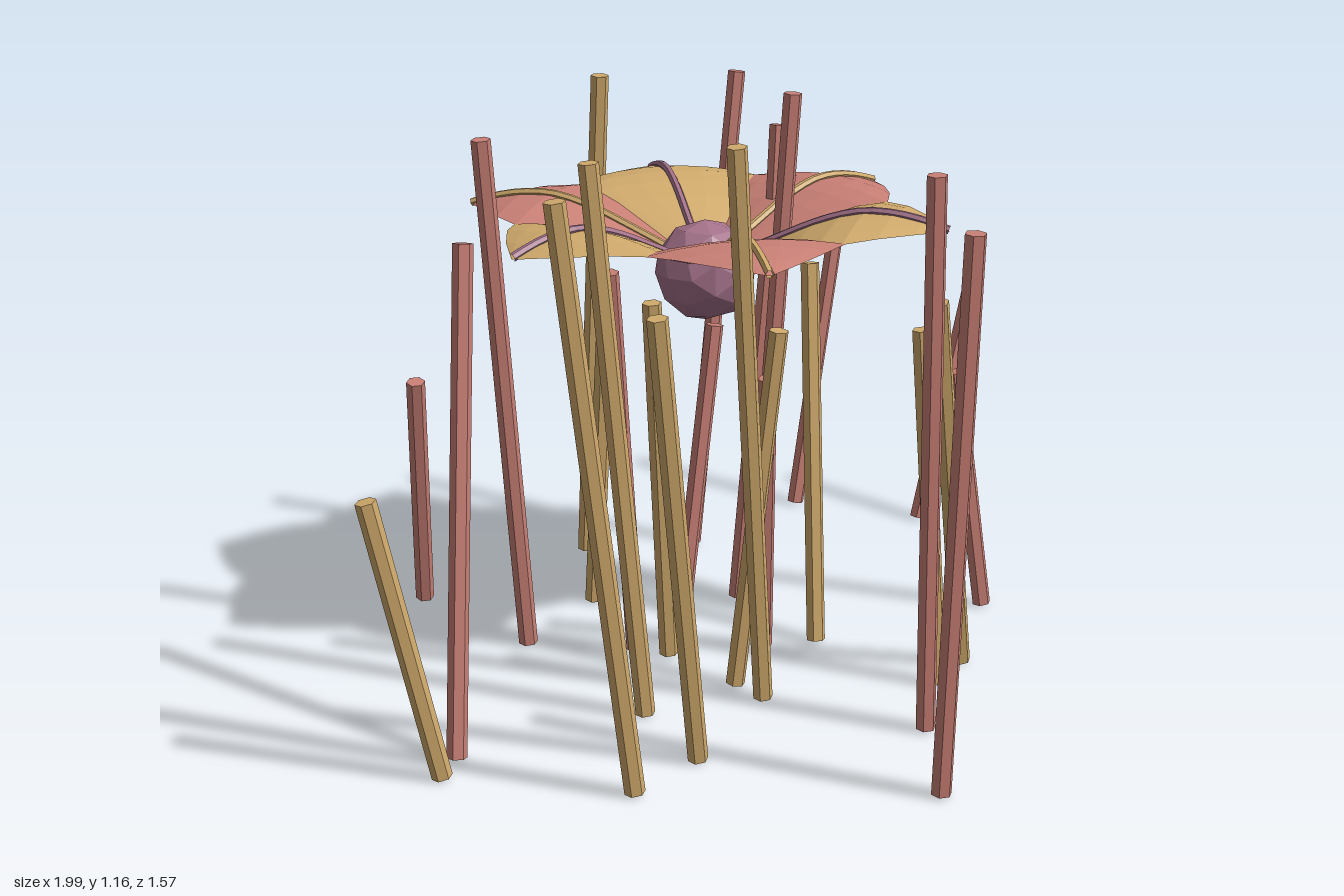
import * as THREE from 'three';

const mat = (name, color, extra = {}) => {
  const m = new THREE.MeshStandardMaterial({ color, flatShading: true, ...extra });
  m.name = name;
  return m;
};

// Stalks: base x, base z, top x, top y, top z
const GOLD_STALKS = [
  [-0.87, -0.02, -0.98, 0.57, -0.065], [-0.66, 0.285, -0.795, 1.14, 0.26],
  [-0.48, 0.265, -0.61, 0.91, 0.31], [-0.41, 0.04, -0.51, 1.13, 0.02],
  [-0.19, 0.15, -0.32, 1.16, 0.215], [-0.17, -0.15, -0.24, 0.79, -0.11],
  [-0.18, 0.06, -0.145, 0.765, 0.15], [0.235, 0.31, 0.05, 0.83, 0.39],
  [0.115, 0.35, 0.07, 0.76, 0.33], [0.10, 0.02, 0.16, 0.81, -0.06],
  [-0.08, -0.49, -0.08, 0.62, -0.435], [0.12, -0.745, 0.10, 1.14, -0.64],
];
const RED_STALKS = [
  [-0.80, -0.065, -0.665, 0.975, -0.16], [-0.34, -0.405, -0.445, 1.11, -0.375],
  [-0.265, 0.69, -0.295, 1.085, 0.765], [-0.07, 0.48, -0.125, 1.125, 0.53],
  [-0.335, -0.77, -0.42, 0.55, -0.655], [-0.20, -0.22, -0.32, 0.86, -0.145],
  [0.0, -0.04, -0.07, 0.63, 0.045], [0.135, -0.205, 0.175, 1.155, -0.125],
  [0.175, -0.24, 0.285, 1.055, -0.275], [0.325, -0.60, 0.435, 1.12, -0.555],
  [0.51, 0.135, 0.44, 0.55, 0.105], [0.70, -0.625, 0.815, 0.665, -0.605],
  [0.83, -0.335, 0.975, 0.575, -0.305], [0.01, -0.30, 0.10, 0.645, -0.285],
  [0.16, -0.28, 0.20, 0.79, -0.22],
];

// Petal sections: distance from centre, height, half width
const PETAL = [
  [0.03, 0.805, 0.02], [0.09, 0.835, 0.06], [0.16, 0.868, 0.115], [0.23, 0.9, 0.175],
  [0.29, 0.921, 0.208], [0.34, 0.931, 0.203], [0.4, 0.93, 0.155], [0.46, 0.919, 0.085],
  [0.515, 0.902, 0.002],
];

function petalGeometry() {
  const cols = 6, pos = [], index = [];
  for (const [r, y, w] of PETAL) {
    for (let j = 0; j <= cols; j++) {
      const u = (j / cols) * 2 - 1;
      pos.push(r, y - 0.02 * u * u * (w / 0.2), u * w);
    }
  }
  for (let i = 0; i < PETAL.length - 1; i++) {
    for (let j = 0; j < cols; j++) {
      const a = i * (cols + 1) + j, b = a + cols + 1;
      index.push(a, a + 1, b, b, a + 1, b + 1);
    }
  }
  const g = new THREE.BufferGeometry();
  g.setAttribute('position', new THREE.Float32BufferAttribute(pos, 3));
  g.setIndex(index);
  g.computeVertexNormals();
  return g;
}

export function createModel() {
  const model = new THREE.Group();
  model.name = 'flowerAmongStalks';
  const gold = mat('gold', 0xd0aa6c);
  const red = mat('dustyRed', 0xc87f75);
  const mauve = mat('mauve', 0xa4728a);
  gold.side = red.side = THREE.DoubleSide;

  // Leaning six-sided stalks
  const addStalk = ([bx, bz, tx, ty, tz], material, name) => {
    const base = new THREE.Vector3(bx, 0.008, bz), top = new THREE.Vector3(tx, ty, tz);
    const dir = top.clone().sub(base);
    const stalk = new THREE.Mesh(new THREE.CylinderGeometry(0.02, 0.02, dir.length(), 6), material);
    stalk.position.copy(base).add(top).multiplyScalar(0.5);
    stalk.quaternion.setFromUnitVectors(new THREE.Vector3(0, 1, 0), dir.normalize());
    stalk.name = name;
    model.add(stalk);
  };
  GOLD_STALKS.forEach((s, i) => addStalk(s, gold, `goldStalk${i + 1}`));
  RED_STALKS.forEach((s, i) => addStalk(s, red, `redStalk${i + 1}`));

  // Flower: six alternating petals, each with a contrasting midrib
  const flower = new THREE.Group();
  flower.name = 'flower';
  flower.position.set(0.022, 0, -0.23);
  const petalGeo = petalGeometry();
  const ribCurve = new THREE.CatmullRomCurve3(PETAL.map(([r, y]) => new THREE.Vector3(r, y + 0.003, 0)));
  const ribGeo = new THREE.TubeGeometry(ribCurve, 16, 0.009, 6);
  for (let i = 0; i < 6; i++) {
    const petal = new THREE.Group();
    petal.name = `petal${i + 1}`;
    petal.rotation.y = (i * Math.PI) / 3;
    const blade = new THREE.Mesh(petalGeo, i % 2 ? gold : red);
    blade.name = 'petalBlade';
    const rib = new THREE.Mesh(ribGeo, i % 2 ? mauve : gold);
    rib.name = 'petalRib';
    petal.add(blade, rib);
    flower.add(petal);
  }

  // Faceted heart of the flower
  const heart = new THREE.Mesh(new THREE.IcosahedronGeometry(0.107, 1), mauve);
  heart.name = 'flowerHeart';
  heart.position.y = 0.79;
  flower.add(heart);
  model.add(flower);
  return model;
}
